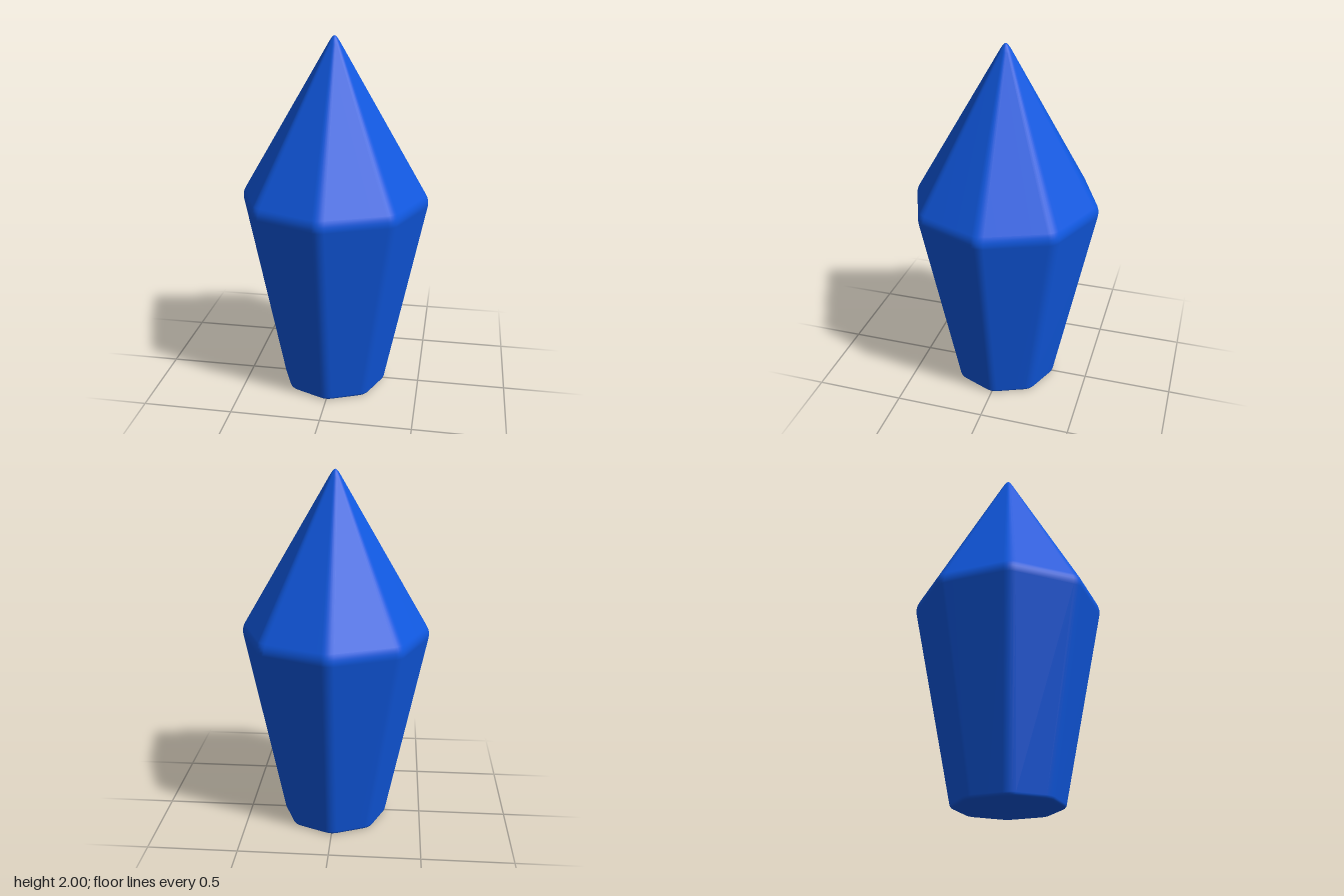
import * as THREE from 'three';
import { mergeVertices } from 'three/addons/utils/BufferGeometryUtils.js';

const SIDES = 8;
const STEPS = 4;
const V = (x, y) => new THREE.Vector2(x, y);

// Points of a small rounded corner at b, starting and ending at distance t along its two edges
function roundCorner(a, b, c, t) {
  const start = b.clone().add(a.clone().sub(b).setLength(t));
  const end = b.clone().add(c.clone().sub(b).setLength(t));
  return new THREE.QuadraticBezierCurve(start, b, end).getPoints(STEPS);
}

// Octagonal cross-section with softened corners, counter-clockwise seen from outside
function section(radius) {
  const corner = (i) => {
    const a = (i / SIDES) * Math.PI * 2;
    return V(Math.sin(a) * radius, Math.cos(a) * radius);
  };
  const points = [];
  for (let i = 0; i < SIDES; i++) {
    points.push(...roundCorner(corner(i - 1), corner(i), corner(i + 1), Math.min(0.035, radius * 0.28)));
  }
  return points;
}

// Loft the cross-sections along a profile of (radius, height) points
function loft(profile) {
  const positions = [];
  const index = [];
  const n = SIDES * (STEPS + 1);
  profile.forEach(({ x: radius, y }, row) => {
    const ring = radius > 1e-6 ? section(radius) : Array(n).fill(V(0, 0));
    ring.forEach((p) => positions.push(p.x, y, p.y));
    if (row === 0) return;
    for (let j = 0; j < n; j++) {
      const k = (j + 1) % n;
      const a = (row - 1) * n + j, b = (row - 1) * n + k;
      const c = row * n + k, d = row * n + j;
      if (profile[row - 1].x > 1e-6) index.push(a, b, c);
      if (radius > 1e-6) index.push(a, c, d);
    }
  });
  const geometry = new THREE.BufferGeometry();
  geometry.setAttribute('position', new THREE.Float32BufferAttribute(positions, 3));
  geometry.setIndex(index);
  const merged = mergeVertices(geometry, 1e-5);
  merged.computeVertexNormals();
  return merged;
}

export function createModel() {
  const group = new THREE.Group();
  group.name = 'crystal';

  // Profile: flat base, widest girdle, pointed tip, each softly rounded
  const base = V(0.301, 0), girdle = V(0.53, 1.125), apex = V(0, 2.02);
  const tipStart = apex.clone().add(girdle.clone().sub(apex).setLength(0.07));
  const tip = new THREE.QuadraticBezierCurve(tipStart, V(0.012, 2), V(0, 2));
  const profile = [
    V(0, 0),
    ...roundCorner(V(0, 0), base, girdle, 0.018),
    ...roundCorner(base, girdle, apex, 0.035),
    ...tip.getPoints(STEPS),
  ];

  const gem = new THREE.Mesh(loft(profile), new THREE.MeshStandardMaterial({ color: 0x1058e0 }));
  gem.name = 'gemBody';
  group.add(gem);
  return group;
}
